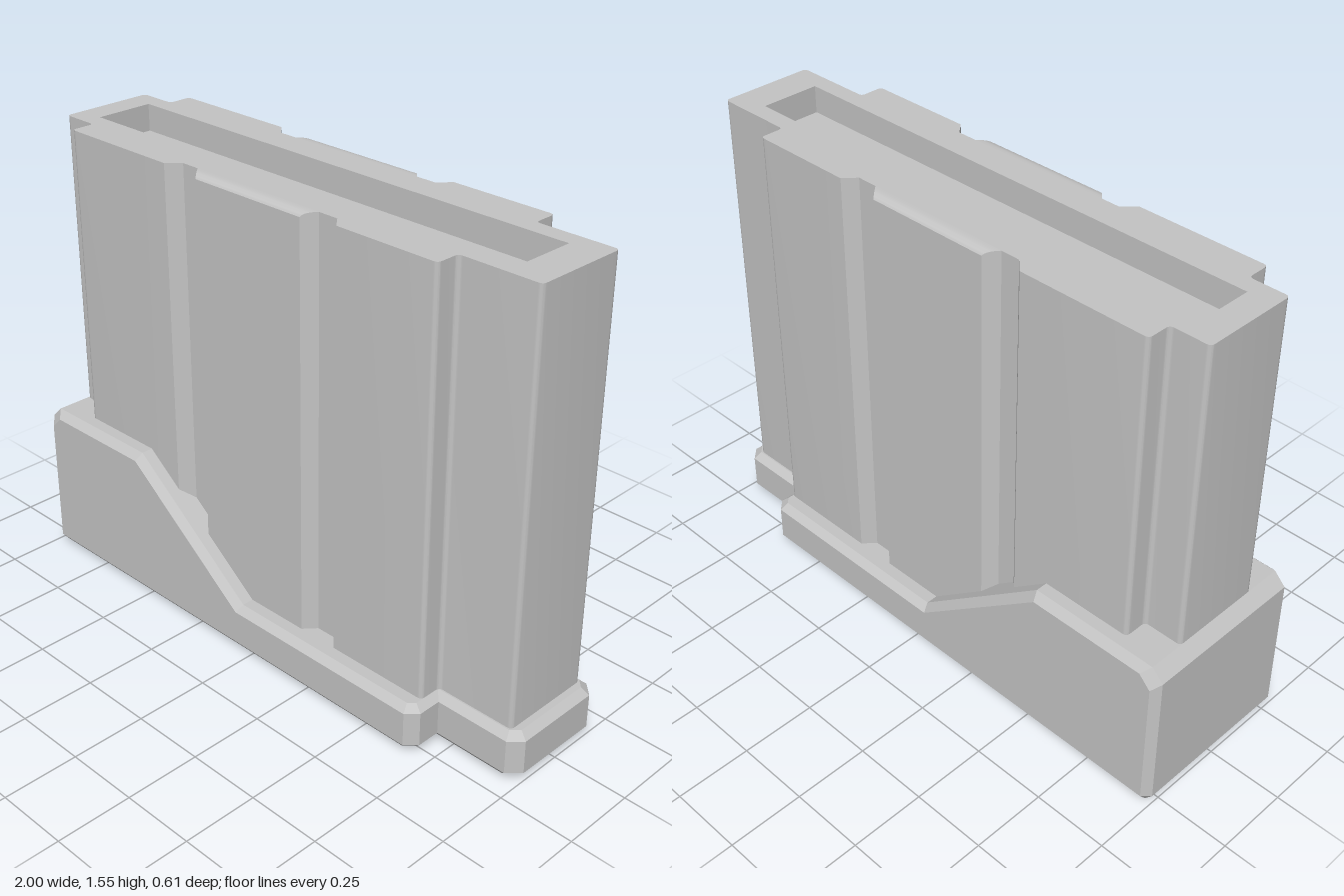
import * as THREE from 'three';
import { toCreasedNormals } from 'three/addons/utils/BufferGeometryUtils.js';

const BODY_TOP = 1.55, BODY_BOTTOM = 0.1, SLOT_FLOOR = 1.46;

// Half outline of the ribbed casing (x, z, corner radius), mirrored across z
const CASING = [
  [-0.96, 0.16, 0.015], [-0.83, 0.16, 0.015], [-0.83, 0.24, 0.015],
  [-0.39, 0.24, 0], [-0.35, 0.2, 0], [0.285, 0.2, 0], [0.32, 0.24, 0],
  [0.68, 0.24, 0.015], [0.68, 0.16, 0.015], [0.953, 0.16, 0.015],
];

// Half outline of the base: outer x, z, wall top y, then the bevelled rim x, z, y
const BASE = [
  [-1, 0.28, 0.495, -0.96, 0.28, 0.535],
  [-0.975, 0.305, 0.47, -0.96, 0.28, 0.535],
  [-0.935, 0.305, 0.51, -0.96, 0.28, 0.535],
  [-0.53, 0.305, 0.51, -0.52, 0.28, 0.535],
  [-0.055, 0.305, 0.145, -0.045, 0.28, 0.167],
  [0.67, 0.305, 0.145, 0.66, 0.28, 0.167],
  [0.705, 0.27, 0.145, 0.68, 0.26, 0.167],
  [0.705, 0.19, 0.145, 0.68, 0.165, 0.167],
  [0.96, 0.19, 0.145, 0.95, 0.165, 0.167],
  [1, 0.15, 0.145, 0.975, 0.14, 0.167],
];

// Closes a half profile of [x, y, z] points into a full ring
function mirrorRing(half) {
  return [...half, ...half.map(([x, y, z]) => [x, y, -z]).reverse()];
}

function baseGeometry() {
  const rings = [
    BASE.map(([x, z], i) => [Math.max(x, -0.975) - (i > 4 ? 0.025 : 0), 0, z - 0.025]),
    BASE.map(([x, z]) => [x, 0.03, z]),
    BASE.map(([x, z, y]) => [x, y, z]),
    BASE.map((p) => [p[3], p[5], p[4]]),
  ].map(mirrorRing);
  const pos = [];
  const quad = (a, b, c, d) => pos.push(...a, ...b, ...c, ...a, ...c, ...d);
  const n = rings[0].length;
  // walls and bevels
  for (let r = 0; r < rings.length - 1; r++) {
    for (let i = 0; i < n; i++) {
      const j = (i + 1) % n;
      quad(rings[r][i], rings[r][j], rings[r + 1][j], rings[r + 1][i]);
    }
  }
  // stepped top and flat underside, as strips across z
  const bottom = rings[0], top = rings[3];
  for (let i = 0; i < n / 2 - 1; i++) {
    quad(top[i], top[i + 1], top[n - 2 - i], top[n - 1 - i]);
    quad(bottom[n - 1 - i], bottom[n - 2 - i], bottom[i + 1], bottom[i]);
  }
  const g = new THREE.BufferGeometry();
  g.setAttribute('position', new THREE.Float32BufferAttribute(pos, 3));
  g.computeVertexNormals();
  return g;
}

// Replaces each corner that has a radius by a short curve
function roundCorners(ring) {
  const corners = ring.map(([x, z]) => new THREE.Vector2(x, z));
  const n = corners.length;
  return corners.flatMap((c, i) => {
    const r = ring[i][2];
    if (!r) return [c];
    const toward = (q) => c.clone().add(q.clone().sub(c).setLength(r));
    const from = toward(corners[(i + n - 1) % n]), to = toward(corners[(i + 1) % n]);
    return new THREE.QuadraticBezierCurve(from, c, to).getPoints(5);
  });
}

function casingGeometry() {
  const ring = [...CASING, ...CASING.map(([x, z, r]) => [x, -z, r]).reverse()].reverse();
  const shape = new THREE.Shape(roundCorners(ring));
  const slot = [[-0.87, -0.1], [-0.87, 0.1], [0.835, 0.1], [0.835, -0.1]];
  shape.holes.push(new THREE.Path(slot.map(([x, z]) => new THREE.Vector2(x, z))));
  const g = new THREE.ExtrudeGeometry(shape, { depth: BODY_TOP - BODY_BOTTOM, bevelEnabled: false });
  g.rotateX(-Math.PI / 2).translate(0, BODY_BOTTOM, 0);
  return toCreasedNormals(g, 0.6);
}

// Raised middle panel with a rounded top edge and slanted ends
function panelGeometry() {
  const s = new THREE.Shape();
  s.moveTo(0.19, BODY_BOTTOM);
  s.lineTo(0.24, BODY_BOTTOM);
  s.lineTo(0.24, BODY_TOP - 0.014);
  s.quadraticCurveTo(0.235, BODY_TOP - 0.002, 0.208, BODY_TOP);
  s.lineTo(0.19, BODY_TOP);
  const g = new THREE.ExtrudeGeometry(s, { depth: 2, bevelEnabled: false, curveSegments: 6 });
  g.rotateY(-Math.PI / 2).translate(1, 0, 0);
  const p = g.attributes.position;
  for (let i = 0; i < p.count; i++) {
    p.setX(i, p.getX(i) * (0.25 - (p.getZ(i) - 0.2) * 0.875));
  }
  return toCreasedNormals(g, 0.5);
}

export function createModel() {
  const grey = new THREE.MeshStandardMaterial({ color: 0xc4c4c4 });
  grey.name = 'grey';
  const model = new THREE.Group();
  model.name = 'ribbedCase';
  const add = (name, geometry) => {
    const mesh = new THREE.Mesh(geometry, grey);
    mesh.name = name;
    model.add(mesh);
    return mesh;
  };

  add('base', baseGeometry());
  add('casing', casingGeometry());

  // floor of the shallow slot in the top
  add('slotFloor', new THREE.BoxGeometry(1.72, 0.1, 0.22)).position.set(-0.0175, SLOT_FLOOR - 0.05, 0);

  const panel = panelGeometry();
  for (const [name, turn] of [['frontPanel', 0], ['backPanel', Math.PI]]) {
    const mesh = add(name, panel);
    mesh.rotation.y = turn;
    mesh.position.x = -0.035;
  }
  return model;
}
